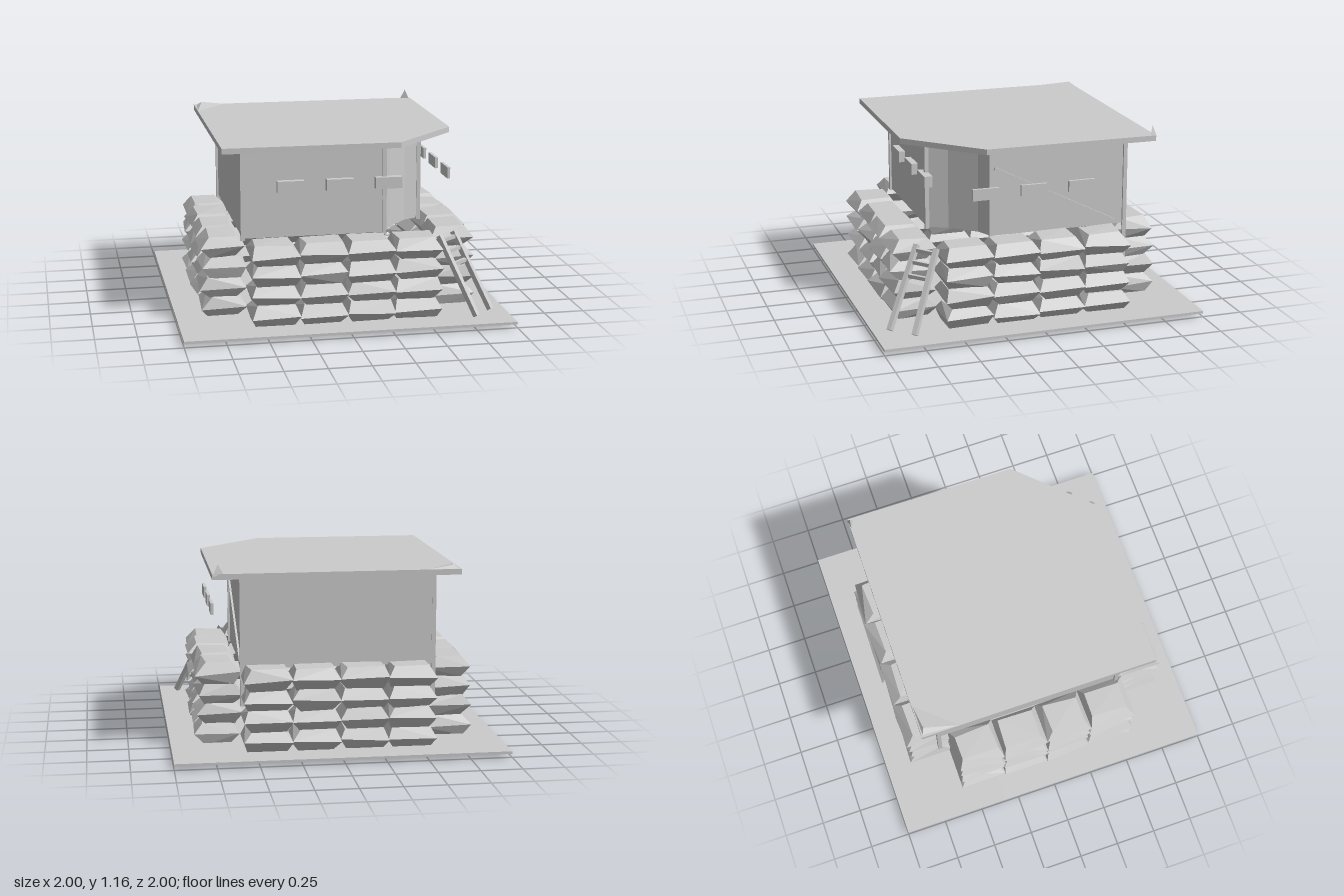
import * as THREE from 'three';
import { ConvexGeometry } from 'three/addons/geometries/ConvexGeometry.js';

const material = new THREE.MeshStandardMaterial({ color: 0xcccccc, flatShading: true, side: THREE.DoubleSide });
const V = (x, y, z) => new THREE.Vector3(x, y, z);

function add(parent, name, geometry) {
  const mesh = new THREE.Mesh(geometry, material);
  mesh.name = name;
  parent.add(mesh);
  return mesh;
}

// Vertical prism over an outline of [x, z] points
function prism(outline, y, height) {
  const shape = new THREE.Shape(outline.map(([x, z]) => new THREE.Vector2(x, -z)));
  const geo = new THREE.ExtrudeGeometry(shape, { depth: height, bevelEnabled: false });
  return geo.rotateX(-Math.PI / 2).translate(0, y, 0);
}

// Square bar between two points
function bar(parent, name, a, b, w, d = w) {
  const mesh = add(parent, name, new THREE.BoxGeometry(w, d, a.distanceTo(b)));
  mesh.position.copy(a).add(b).multiplyScalar(0.5);
  mesh.lookAt(b);
  return mesh;
}

let seed = 7;
function jitter(amount) {
  seed = (seed * 16807) % 2147483647;
  return (seed / 2147483647 - 0.5) * 2 * amount;
}

// Faceted sandbag: widest at mid-height, with smaller top and bottom faces
function sandbag() {
  const points = [];
  for (const [y, hx, hz] of [[-0.064, 0.11, 0.085], [0, 0.146, 0.137], [0.064, 0.11, 0.085]])
    for (const sx of [-1, 1])
      for (const sz of [-1, 1])
        points.push(V(sx * hx + (y ? jitter(0.015) : 0), y + jitter(y ? 0.004 : 0.012), sz * hz + jitter(0.012)));
  return new ConvexGeometry(points);
}

export function createModel() {
  const model = new THREE.Group();
  model.name = 'bunker';

  // Ground slab, its underside sagging towards the middle
  const ground = new THREE.BoxGeometry(2, 0.015, 2, 6, 1, 6);
  const p = ground.attributes.position;
  for (let i = 0; i < p.count; i++) {
    const edge = Math.max(Math.abs(p.getX(i)), Math.abs(p.getZ(i)));
    if (p.getY(i) < 0) p.setY(i, edge > 0.99 ? 0.022 : edge > 0.5 ? 0.008 : 0);
    else p.setY(i, 0.037);
  }
  add(model, 'ground', ground);

  // Sandbag wall: four sides, four layers, four bags each, open at the corners
  const bags = new THREE.Group();
  bags.name = 'sandbagWall';
  for (let side = 0; side < 4; side++) {
    const row = new THREE.Group();
    row.name = 'sandbagSide';
    row.rotation.y = side * Math.PI / 2;
    for (let layer = 0; layer < 4; layer++)
      for (let i = 0; i < 4; i++)
        add(row, 'sandbag', sandbag()).position.set((i - 1.5) * 0.288, 0.093 + layer * 0.124, 0.705 + jitter(0.008));
    bags.add(row);
  }
  model.add(bags);

  // Cabin with a slightly hollow entrance wall across one corner
  add(model, 'cabin', prism([
    [-0.59, -0.65], [-0.59, 0.54], [0.28, 0.54], [0.34, 0.42],
    [0.47, 0.27], [0.57, 0.22], [0.57, -0.65],
  ], 0.51, 0.56));

  // Thin corner posts
  for (const [x, z, low] of [[-0.59, 0.54, 0.5], [0.28, 0.54, 0.5], [0.57, 0.22, 0.5], [-0.59, -0.64, 0.28], [0.57, -0.64, 0.28]])
    bar(model, 'cornerPost', V(x, low, z), V(x, 1.07, z), 0.025);

  // Flat roof with the entrance corner cut off
  add(model, 'roof', prism([
    [-0.73, -0.765], [-0.73, 0.71], [0.34, 0.715], [0.745, 0.3], [0.75, -0.765],
  ], 1.067, 0.034));

  // Bent-up tips at the back corners of the roof
  add(model, 'roofTip', new ConvexGeometry([
    V(0.68, 1.09, -0.76), V(0.75, 1.09, -0.77), V(0.74, 1.09, -0.73), V(0.715, 1.158, -0.755),
  ]));
  add(model, 'roofTip', new ConvexGeometry([
    V(-0.73, 1.09, -0.765), V(-0.52, 1.1, -0.76), V(-0.73, 1.1, -0.52), V(-0.68, 1.122, -0.74),
  ]));

  // Firing slits on the front, and shutters standing off the left wall
  for (const t of [-0.3, 0, 0.3]) {
    add(model, 'frontSlit', new THREE.BoxGeometry(0.165, 0.07, 0.05)).position.set(t, 0.825, 0.555);
    add(model, 'sideShutter', new THREE.BoxGeometry(0.018, 0.07, 0.165)).position.set(0.725, 0.825, t);
  }

  // Slanting strip on the left wall
  bar(model, 'wallStrip', V(0.575, 0.93, 0.2), V(0.575, 0.53, -0.58), 0.015, 0.02);

  // Ladder leaning diagonally on the entrance corner
  const ladder = new THREE.Group();
  ladder.name = 'ladder';
  const railA = [V(0.59, 0.51, 0.69), V(0.77, 0.06, 0.91)];
  const railB = [V(0.70, 0.51, 0.6), V(0.89, 0.06, 0.79)];
  for (const [top, foot] of [railA, railB]) bar(ladder, 'ladderRail', top, foot, 0.03);
  for (const t of [0.06, 0.2, 0.36])
    bar(ladder, 'ladderRung', railA[0].clone().lerp(railA[1], t), railB[0].clone().lerp(railB[1], t), 0.022);
  model.add(ladder);

  return model;
}
